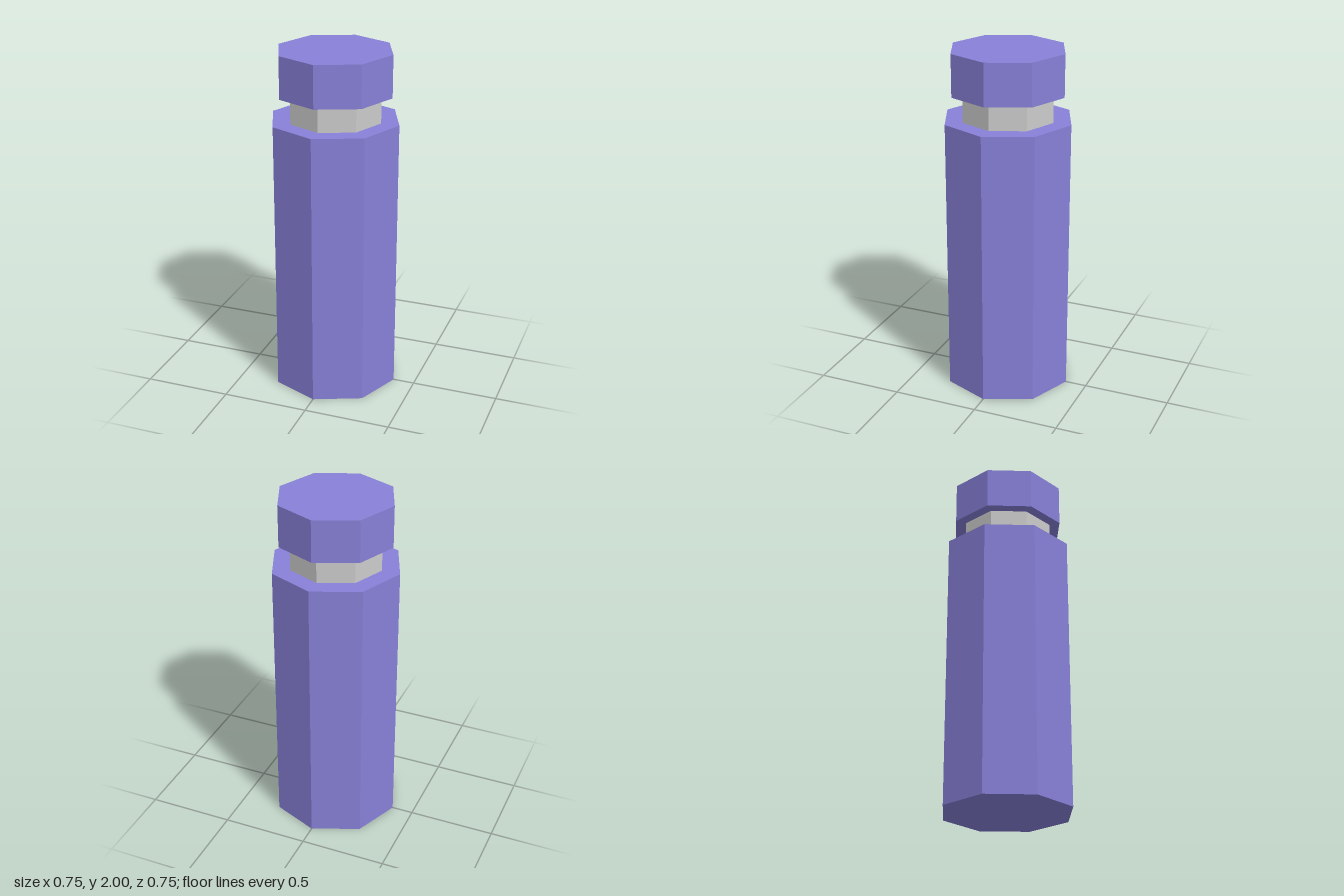
import * as THREE from 'three';

export function createModel() {
  const group = new THREE.Group();
  const purple = new THREE.MeshStandardMaterial({ color: 0x8880d8, flatShading: true });
  const grey = new THREE.MeshStandardMaterial({ color: 0xcccccc, flatShading: true });

  // Octagonal prism with corners on the x and z axes
  function addPrism(name, radius, bottom, top, material) {
    const geometry = new THREE.CylinderGeometry(radius, radius, top - bottom, 8);
    const mesh = new THREE.Mesh(geometry, material);
    mesh.name = name;
    mesh.position.y = (bottom + top) / 2;
    group.add(mesh);
  }

  addPrism('body', 0.375, 0, 1.607, purple);
  addPrism('neck', 0.27, 1.607, 1.757, grey);
  addPrism('cap', 0.333, 1.757, 2, purple);

  return group;
}
